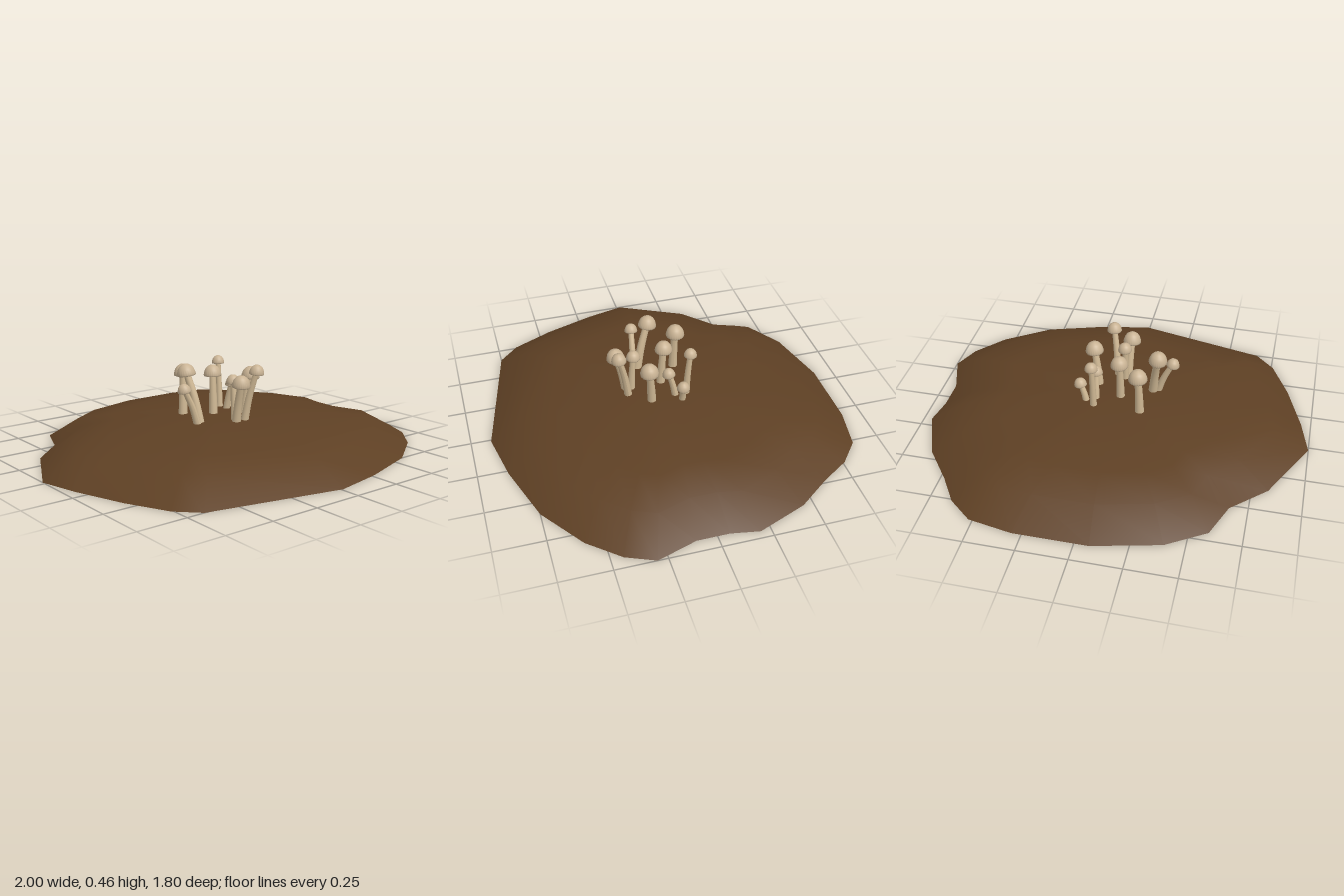
import * as THREE from 'three';

// Uneven outline of the mound, as x, z pairs
const RIM = [
  [-1, -0.02], [-0.83, -0.36], [-0.66, -0.52], [-0.59, -0.7], [-0.4, -0.82], [-0.07, -0.9],
  [0.3, -0.9], [0.52, -0.86], [0.64, -0.76], [0.73, -0.62], [0.86, -0.45], [0.96, -0.2],
  [0.935, -0.06], [0.935, 0.1], [1, 0.3], [0.94, 0.44], [0.81, 0.59], [0.58, 0.75],
  [0.27, 0.85], [0.01, 0.9], [-0.66, 0.75], [-0.76, 0.65], [-0.86, 0.44], [-0.95, 0.18],
];
// Mound cross-section: share of the outline, height
const RINGS = [[0.18, 0.173], [0.4, 0.162], [0.62, 0.137], [0.82, 0.104], [1, 0]];

// Mushrooms: cap x, top y, cap z, cap radius, foot x, foot z
const MUSHROOMS = [
  [-0.13, 0.43, -0.11, 0.047, -0.14, -0.1],
  [-0.205, 0.46, 0.02, 0.046, -0.17, 0.09],
  [-0.27, 0.38, 0.09, 0.033, -0.19, 0.1],
  [-0.015, 0.425, -0.015, 0.044, -0.02, 0],
  [0.105, 0.443, -0.12, 0.032, 0.1, -0.1],
  [0.175, 0.298, -0.065, 0.032, 0.14, -0.07],
  [0.105, 0.343, -0.01, 0.032, 0.1, -0.05],
  [0.14, 0.416, 0.1, 0.046, 0.11, 0.08],
  [-0.01, 0.4, 0.145, 0.035, -0.01, 0.16],
  [-0.03, 0.413, 0.23, 0.045, -0.02, 0.18],
  [0.065, 0.455, 0.235, 0.037, 0.03, 0.18],
];

function moundGeometry() {
  const n = RIM.length;
  const pos = [0, 0.175, 0];
  const index = [];
  for (const [s, y] of RINGS) for (const [x, z] of RIM) pos.push(x * s, y, z * s);
  for (let i = 0; i < n; i++) {
    const j = (i + 1) % n;
    index.push(0, 1 + j, 1 + i);
    for (let r = 0; r < RINGS.length - 1; r++) {
      const a = 1 + r * n, b = a + n;
      index.push(a + i, a + j, b + i, a + j, b + j, b + i);
    }
  }
  const g = new THREE.BufferGeometry();
  g.setAttribute('position', new THREE.Float32BufferAttribute(pos, 3));
  g.setIndex(index);
  g.computeVertexNormals();
  return g;
}

// Domed cap of radius 1 with a finely crimped lip and a hollow underside
function capGeometry() {
  const profile = [
    [0, 0.2], [0.45, 0.12], [0.85, -0.02], [0.96, 0], [1, 0.14], [0.97, 0.4],
    [0.86, 0.74], [0.66, 1.03], [0.36, 1.24], [0, 1.31],
  ].map(([x, y]) => new THREE.Vector2(x, y));
  const g = new THREE.LatheGeometry(profile, 48);
  const p = g.attributes.position;
  for (let i = 0; i < p.count; i++) {
    const column = Math.floor(i / profile.length);
    const row = i % profile.length;
    if (row < 2 || row > 4) continue;
    const k = column % 2 ? 0.96 : 1.03;
    p.setXYZ(i, p.getX(i) * k, p.getY(i), p.getZ(i) * k);
  }
  g.computeVertexNormals();
  return g;
}

// Gently curved stem, tapering towards the cap
function stemGeometry(foot, top, radius) {
  const mid = foot.clone().lerp(top, 0.55);
  mid.x += (foot.x - top.x) * 0.1;
  mid.z += (foot.z - top.z) * 0.1;
  const curve = new THREE.CatmullRomCurve3([foot, mid, top]);
  const steps = 10, sides = 12;
  const g = new THREE.TubeGeometry(curve, steps, radius, sides);
  const p = g.attributes.position;
  const v = new THREE.Vector3();
  for (let i = 0; i < p.count; i++) {
    const t = Math.floor(i / (sides + 1)) / steps;
    const c = curve.getPointAt(t);
    v.fromBufferAttribute(p, i).sub(c).multiplyScalar(1.15 - 0.35 * t).add(c);
    p.setXYZ(i, v.x, v.y, v.z);
  }
  g.computeVertexNormals();
  return g;
}

export function createModel() {
  const soil = new THREE.MeshStandardMaterial({ color: 0x5e4024, side: THREE.DoubleSide });
  soil.name = 'soil brown';
  const capTan = new THREE.MeshStandardMaterial({ color: 0xc9b394, side: THREE.DoubleSide });
  capTan.name = 'cap tan';
  const stemCream = new THREE.MeshStandardMaterial({ color: 0xcfb894, side: THREE.DoubleSide });
  stemCream.name = 'stem cream';

  const model = new THREE.Group();
  model.name = 'mushroomMound';
  const mound = new THREE.Mesh(moundGeometry(), soil);
  mound.name = 'mound';
  model.add(mound);

  const capShape = capGeometry();
  const up = new THREE.Vector3(0, 1, 0);
  MUSHROOMS.forEach(([x, y, z, r, fx, fz], i) => {
    const mushroom = new THREE.Group();
    mushroom.name = 'mushroom' + (i + 1);
    const foot = new THREE.Vector3(fx, 0.135, fz);
    const base = new THREE.Vector3(x, y - r * 1.31, z);

    const stem = new THREE.Mesh(stemGeometry(foot, base.clone().setY(base.y + r * 0.3), 0.006 + r * 0.33), stemCream);
    stem.name = 'stem';

    // Cap leans a little with its stem
    const cap = new THREE.Mesh(capShape, capTan);
    cap.name = 'cap';
    cap.scale.setScalar(r);
    cap.position.copy(base);
    const lean = base.clone().sub(foot).normalize().lerp(up, 0.5).normalize();
    cap.quaternion.setFromUnitVectors(up, lean);

    mushroom.add(stem, cap);
    model.add(mushroom);
  });
  return model;
}
